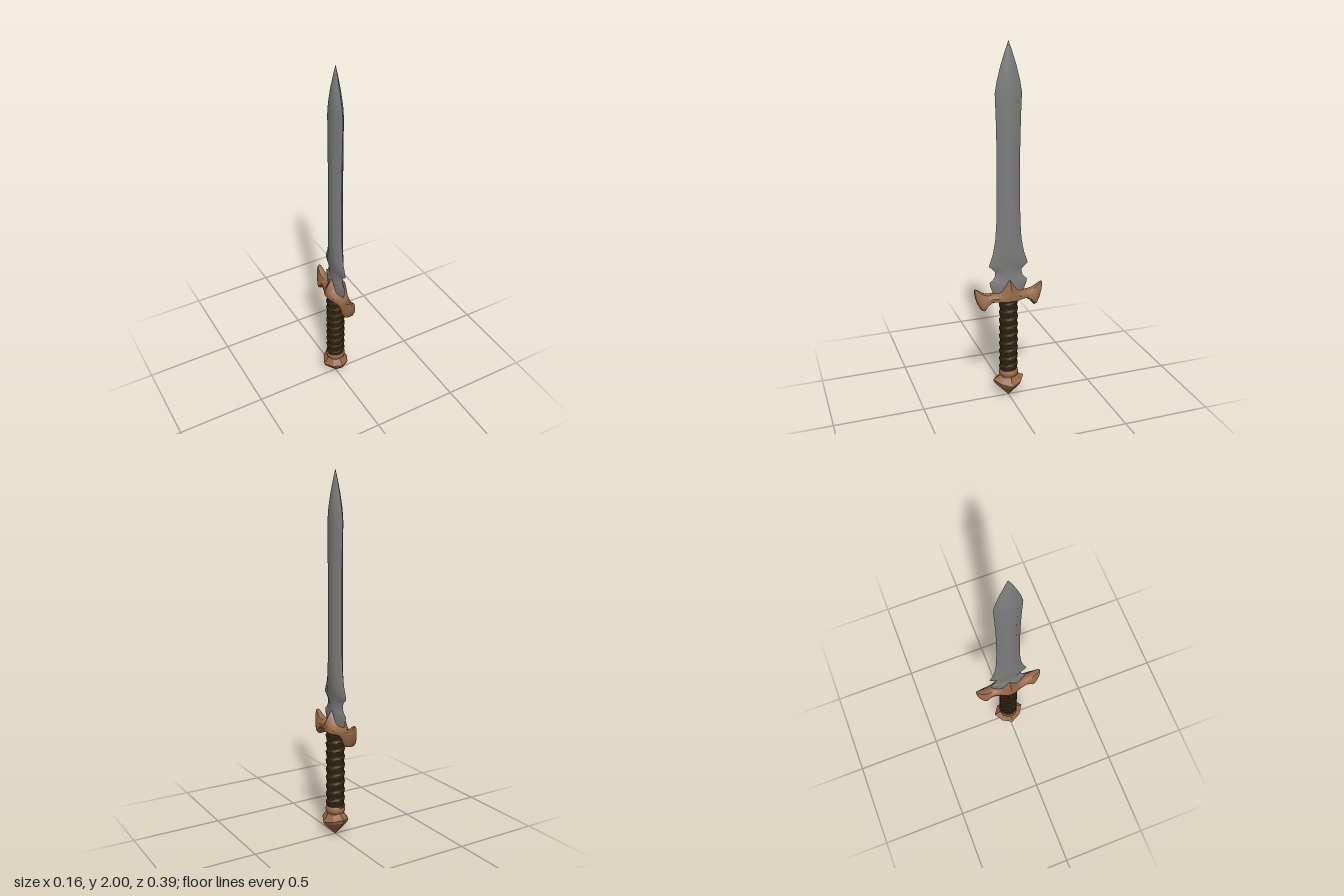
import * as THREE from 'three';
import { toCreasedNormals } from 'three/addons/utils/BufferGeometryUtils.js';

// Skin a closed surface over rings of [x, y, z] points and cap both ends
function loft(rings, crease) {
  const n = rings[0].length, tris = [];
  const centre = (r) => [0, 1, 2].map((k) => r.reduce((s, p) => s + p[k], 0) / n);
  for (let i = 0; i < rings.length - 1; i++) {
    for (let j = 0; j < n; j++) {
      const a = rings[i][j], b = rings[i][(j + 1) % n];
      const c = rings[i + 1][(j + 1) % n], d = rings[i + 1][j];
      tris.push([a, b, c], [a, c, d]);
    }
  }
  const first = rings[0], last = rings[rings.length - 1];
  const c0 = centre(first), c1 = centre(last);
  for (let j = 0; j < n; j++) {
    const k = (j + 1) % n;
    tris.push([c0, first[k], first[j]], [c1, last[j], last[k]]);
  }
  // Turn faces outward when the enclosed volume comes out negative
  let volume = 0;
  const v = (p) => new THREE.Vector3(...p);
  tris.forEach(([a, b, c]) => { volume += v(a).dot(v(b).cross(v(c))); });
  if (volume < 0) tris.forEach((t) => t.reverse());
  const geometry = new THREE.BufferGeometry();
  geometry.setAttribute('position', new THREE.Float32BufferAttribute(tris.flat(2), 3));
  return toCreasedNormals(geometry, crease);
}

export function createModel() {
  const group = new THREE.Group();
  const material = (name, color) => {
    const m = new THREE.MeshStandardMaterial({ color });
    m.name = name;
    return m;
  };
  const steel = material('steel', 0x7e7e7e);
  const bronze = material('bronze', 0x966845);
  const leather = material('dark leather', 0x32250f);
  const add = (name, geometry, mat) => {
    const mesh = new THREE.Mesh(geometry, mat);
    mesh.name = name;
    group.add(mesh);
  };

  // Blade: [height, half width, half thickness], ridged section
  const bladeRows = [
    [0.62, 0.085, 0.026], [0.66, 0.094, 0.026], [0.69, 0.106, 0.024], [0.71, 0.108, 0.023],
    [0.725, 0.09, 0.022], [0.745, 0.078, 0.021], [0.77, 0.077, 0.021], [0.785, 0.088, 0.021],
    [0.805, 0.111, 0.022], [0.82, 0.108, 0.024], [0.87, 0.09, 0.03], [0.95, 0.075, 0.032],
    [1.05, 0.068, 0.033], [1.2, 0.065, 0.033], [1.4, 0.064, 0.033], [1.6, 0.068, 0.033],
    [1.74, 0.073, 0.032], [1.8, 0.063, 0.03], [1.88, 0.042, 0.021], [1.95, 0.019, 0.01],
    [2.0, 0.0005, 0.0005],
  ];
  const bladeSection = [[1, 0], [0.8, 0.5], [0, 1], [-0.8, 0.5], [-1, 0], [-0.8, -0.5], [0, -1], [0.8, -0.5]];
  add('blade', loft(bladeRows.map(([y, w, t]) =>
    bladeSection.map(([x, z]) => [x * t, y, z * w])), 0.5), steel);

  // Crossguard: [distance from centre, top, bottom, half thickness], mirrored
  const half = [
    [0, 0.73, 0.585, 0.062], [0.02, 0.698, 0.588, 0.058], [0.04, 0.667, 0.593, 0.052],
    [0.06, 0.65, 0.598, 0.044], [0.1, 0.645, 0.6, 0.034], [0.125, 0.648, 0.58, 0.034],
    [0.143, 0.655, 0.554, 0.036], [0.16, 0.665, 0.559, 0.031], [0.178, 0.678, 0.592, 0.023],
    [0.19, 0.684, 0.63, 0.015], [0.195, 0.682, 0.66, 0.009],
  ];
  const guardRows = [...half.slice(1).reverse().map(([z, ...r]) => [-z, ...r]), ...half];
  const guardSection = [[0, 1], [0.5, 0.94], [1, 0.55], [1, 0.18], [0.65, 0.03], [0, 0],
    [-0.65, 0.03], [-1, 0.18], [-1, 0.55], [-0.5, 0.94]];
  add('crossguard', loft(guardRows.map(([z, top, bottom, t]) =>
    guardSection.map(([x, f]) => [x * t, bottom + (top - bottom) * f, z])), 0.75), bronze);

  // Grip: leather strip wound in a spiral with overlapping edges
  const gripRings = [], rows = 88, sides = 24, turns = 9;
  for (let i = 0; i <= rows; i++) {
    const ring = [];
    for (let j = 0; j < sides; j++) {
      const a = (j / sides) * Math.PI * 2;
      const phase = (((i / rows) * turns + j / sides) % 1 + 1) % 1;
      const r = 0.046 + 0.008 * Math.min(phase / 0.75, (1 - phase) / 0.25);
      ring.push([Math.cos(a) * r, 0.165 + 0.435 * (i / rows), Math.sin(a) * r]);
    }
    gripRings.push(ring);
  }
  add('grip', loft(gripRings, 0.6), leather);

  // Collar between grip and pommel
  const collar = [[0, 0.175], [0.046, 0.175], [0.052, 0.168], [0.055, 0.152], [0.054, 0.14],
    [0.047, 0.132], [0.047, 0.115], [0, 0.115]].reverse();
  add('pommelCollar', toCreasedNormals(
    new THREE.LatheGeometry(collar.map(([r, y]) => new THREE.Vector2(r, y)), 20), 0.7), bronze);

  // Pommel: faceted flare coming to a point, wide corners higher than narrow ones
  const pommelRing = (rx, rz, yx, yz) => Array.from({ length: 8 }, (_, j) => {
    const a = (j / 8) * Math.PI * 2, c = Math.cos(a), s = Math.sin(a);
    const k = j % 2 ? 0.9 : 1;
    return [c * rx * k, yx * c * c + yz * s * s, s * rz * k];
  });
  add('pommel', loft([
    pommelRing(0.046, 0.046, 0.138, 0.138), pommelRing(0.055, 0.062, 0.118, 0.126),
    pommelRing(0.078, 0.091, 0.085, 0.112), pommelRing(0.07, 0.084, 0.07, 0.09),
    pommelRing(0.002, 0.002, 0, 0),
  ], 0.3), bronze);

  return group;
}
